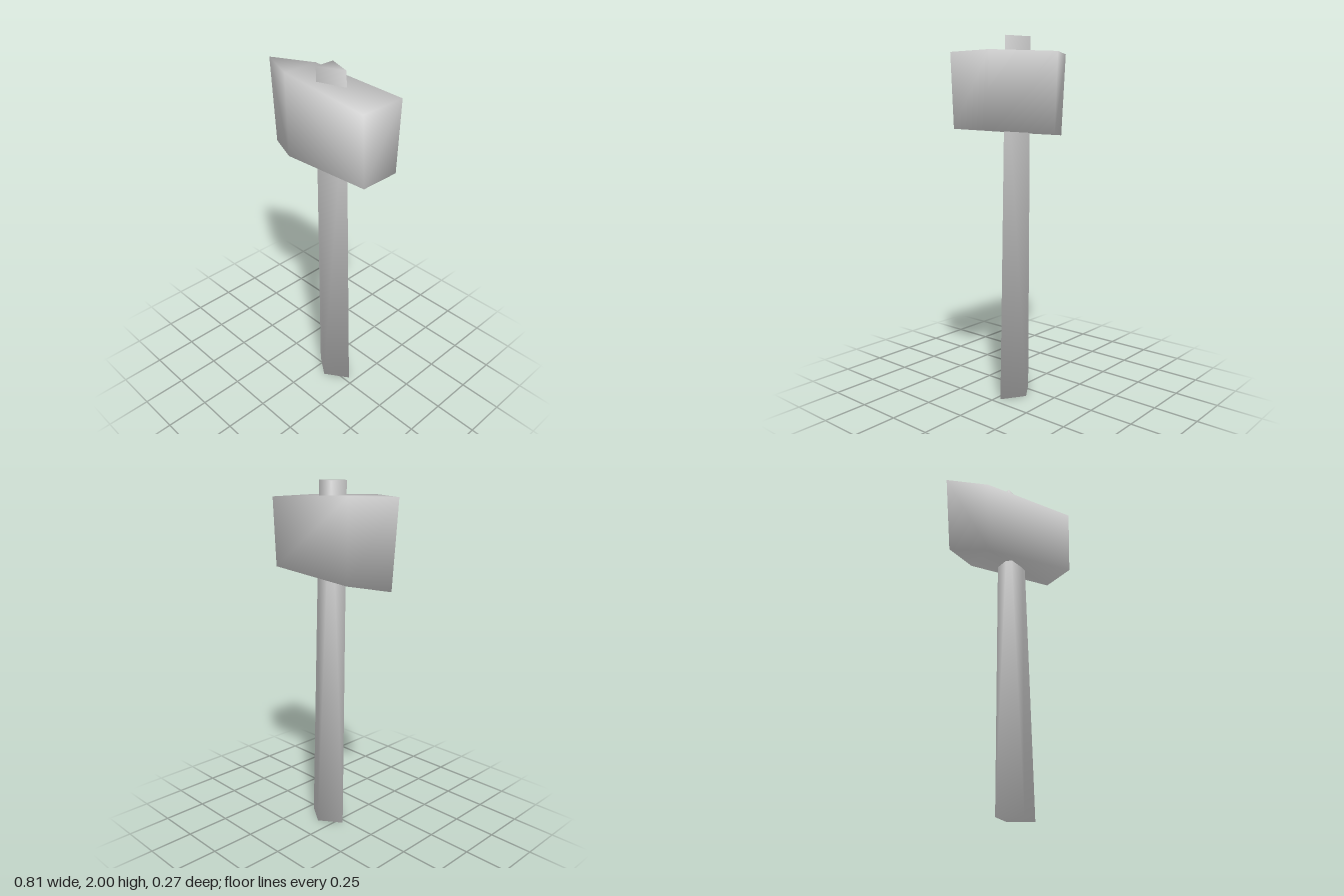
import * as THREE from 'three';

// Smooth normals in which every face around a corner counts equally.
function softNormals(points, faces) {
  const normals = points.map(() => new THREE.Vector3());
  for (const face of faces) {
    const normal = new THREE.Triangle(...face.map((i) => points[i])).getNormal(new THREE.Vector3());
    face.forEach((i) => normals[i].add(normal));
  }
  return normals.flatMap((v) => v.normalize().toArray());
}

// Skin a list of equal-length rings and close both ends. Rings run counter-clockwise seen
// from the last ring; flipped sides use the other diagonal. Repeated corners are shared.
function loft(rings, flipped = []) {
  const n = rings[0].length;
  const corners = rings.flat();
  const keys = corners.map(String);
  const faces = [];
  const face = (...ids) => {
    const shared = ids.map((i) => keys.indexOf(keys[i]));
    if (new Set(shared).size === 3) faces.push(shared);
  };
  for (let r = 0; r < rings.length - 1; r++) {
    for (let j = 0; j < n; j++) {
      const a = r * n + j, b = r * n + (j + 1) % n;
      const c = b + n, d = a + n;
      if (flipped.includes(j)) { face(a, b, d); face(b, c, d); }
      else { face(a, b, c); face(a, c, d); }
    }
  }
  const end = (rings.length - 1) * n;
  for (let i = 0; i < n - 2; i++) {
    face(end + n - 1, end + i, end + i + 1);
    face(n - 1, i + 1, i);
  }
  const points = corners.map((p) => new THREE.Vector3(...p));
  const geometry = new THREE.BufferGeometry();
  geometry.setAttribute('position', new THREE.Float32BufferAttribute(corners.flat(), 3));
  geometry.setAttribute('normal', new THREE.Float32BufferAttribute(softNormals(points, faces), 3));
  geometry.setIndex(faces.flat());
  return geometry;
}

export function createModel() {
  const group = new THREE.Group();
  const grey = new THREE.MeshStandardMaterial({ color: 0xcccccc });
  grey.name = 'light grey';

  const add = (name, geometry) => {
    const mesh = new THREE.Mesh(geometry, grey);
    mesh.name = name;
    group.add(mesh);
  };

  // Handle: diamond foot (left, front, right, back) tapering to a triangular tip above the head
  const tipFront = [0.002, 2, 0.046];
  add('handle', loft([
    [[-0.04, 0, -0.025], [0.08, 0, 0.06], [0.212, 0, -0.03], [0.085, 0, -0.112]],
    [tipFront, tipFront, [0.147, 2, -0.018], [0.002, 2, -0.07]],
  ], [2, 3]));

  // Head: sharp edge, shoulder, then the blunt end (top front, bottom front, bottom back, top back)
  const edgeTop = [-0.407, 1.932, -0.005], edgeBottom = [-0.37, 1.46, -0.005];
  add('axeHead', loft([
    [edgeTop, edgeBottom, edgeBottom, edgeTop],
    [[-0.175, 1.932, 0.092], [-0.16, 1.475, 0.092], [-0.16, 1.475, -0.115], [-0.175, 1.932, -0.122]],
    [[0.401, 1.905, 0.133], [0.404, 1.515, 0.112], [0.404, 1.515, -0.118], [0.401, 1.905, -0.135]],
  ], [2]));

  return group;
}
